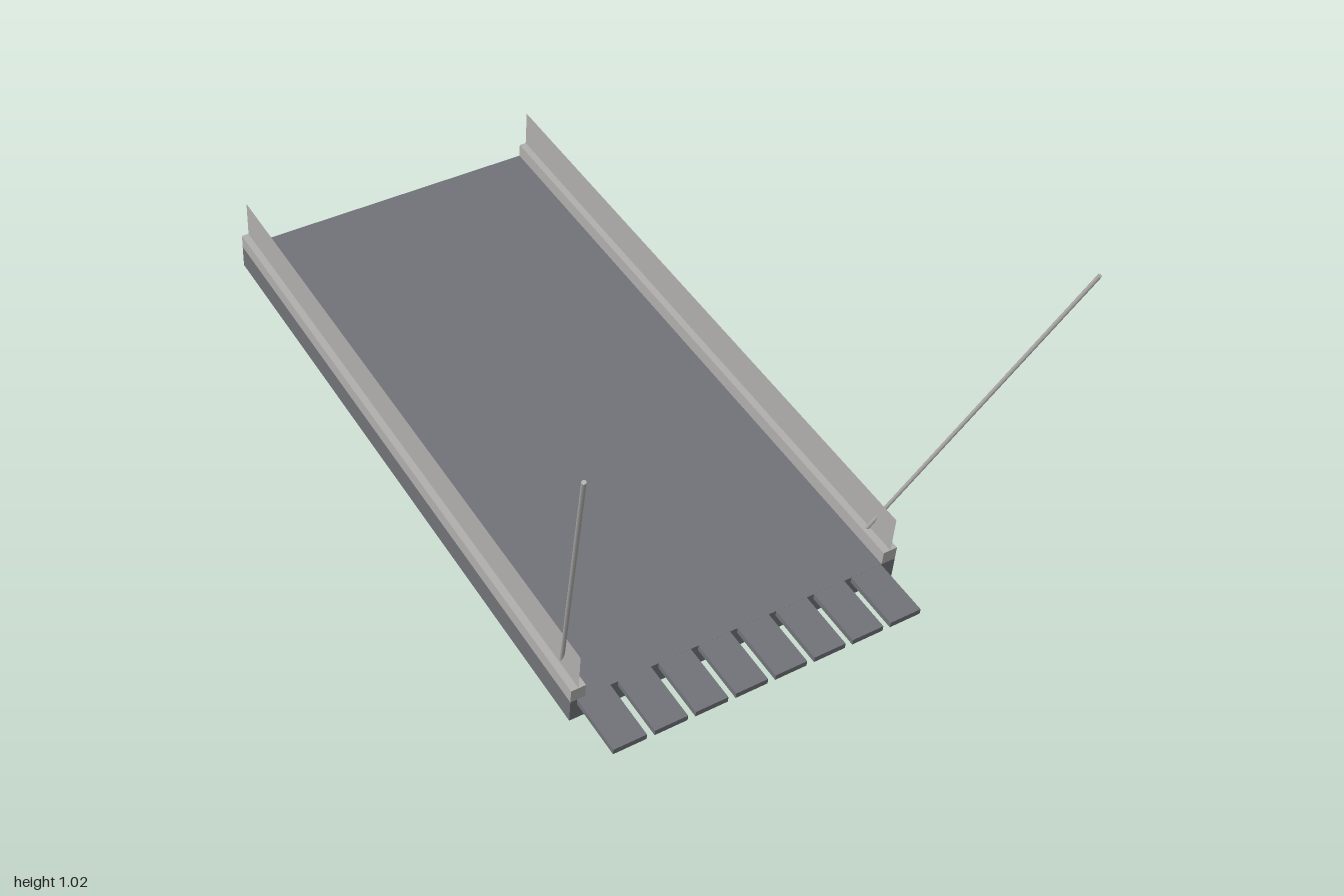
import * as THREE from 'three';

export function createModel() {
  const model = new THREE.Group();
  model.name = 'loadingRamp';

  const deckMat = new THREE.MeshStandardMaterial({ color: 0x707378 });
  deckMat.name = 'slate grey';
  const railMat = new THREE.MeshStandardMaterial({ color: 0xb0afad, side: THREE.DoubleSide });
  railMat.name = 'light grey';

  const LENGTH = 1.676, HALF = 0.429, DECK = 0.0625, CURB = 0.037, RAIL = 0.1;

  // Tilted platform: origin at the bottom front edge, running back along -z
  const platform = new THREE.Group();
  platform.name = 'platform';
  platform.position.set(0, 0.001, 0.67);
  platform.rotation.x = THREE.MathUtils.degToRad(5);
  model.add(platform);

  function add(parent, name, geometry, material, x, y, z) {
    const mesh = new THREE.Mesh(geometry, material);
    mesh.name = name;
    mesh.position.set(x, y, z);
    parent.add(mesh);
    return mesh;
  }

  add(platform, 'deck', new THREE.BoxGeometry(HALF * 2, DECK, LENGTH), deckMat, 0, DECK / 2, -LENGTH / 2);

  // Front lip: eight flat fingers flush with the deck top
  for (let i = 0; i < 8; i++) {
    add(platform, 'lipFinger', new THREE.BoxGeometry(0.083, 0.015, 0.15), deckMat,
      -0.371 + i * 0.1028, DECK - 0.0076, 0.075);
  }

  for (const side of [-1, 1]) {
    const prefix = side > 0 ? 'left' : 'right';

    // Curb along the edge with a thin upright sheet on its centre line
    add(platform, prefix + 'Curb', new THREE.BoxGeometry(0.037, CURB, LENGTH), railMat,
      side * (HALF - 0.0185), DECK + CURB / 2, -LENGTH / 2);
    const sheet = new THREE.PlaneGeometry(LENGTH, RAIL).rotateY(side * Math.PI / 2);
    add(platform, prefix + 'SideRail', sheet, railMat,
      side * (HALF - 0.0185), DECK + CURB + RAIL / 2, -LENGTH / 2);

    // Slanted support rod rising outwards and forwards
    const foot = new THREE.Vector3(side * 0.398, 0.075, 0.583);
    const tip = new THREE.Vector3(side * 0.587, 1.02, 0.997);
    const dir = tip.clone().sub(foot);
    const rod = add(model, prefix + 'SupportRod',
      new THREE.CylinderGeometry(0.005, 0.005, dir.length(), 8), railMat, 0, 0, 0);
    rod.position.copy(foot).add(tip).multiplyScalar(0.5);
    rod.quaternion.setFromUnitVectors(new THREE.Vector3(0, 1, 0), dir.normalize());
  }

  return model;
}
